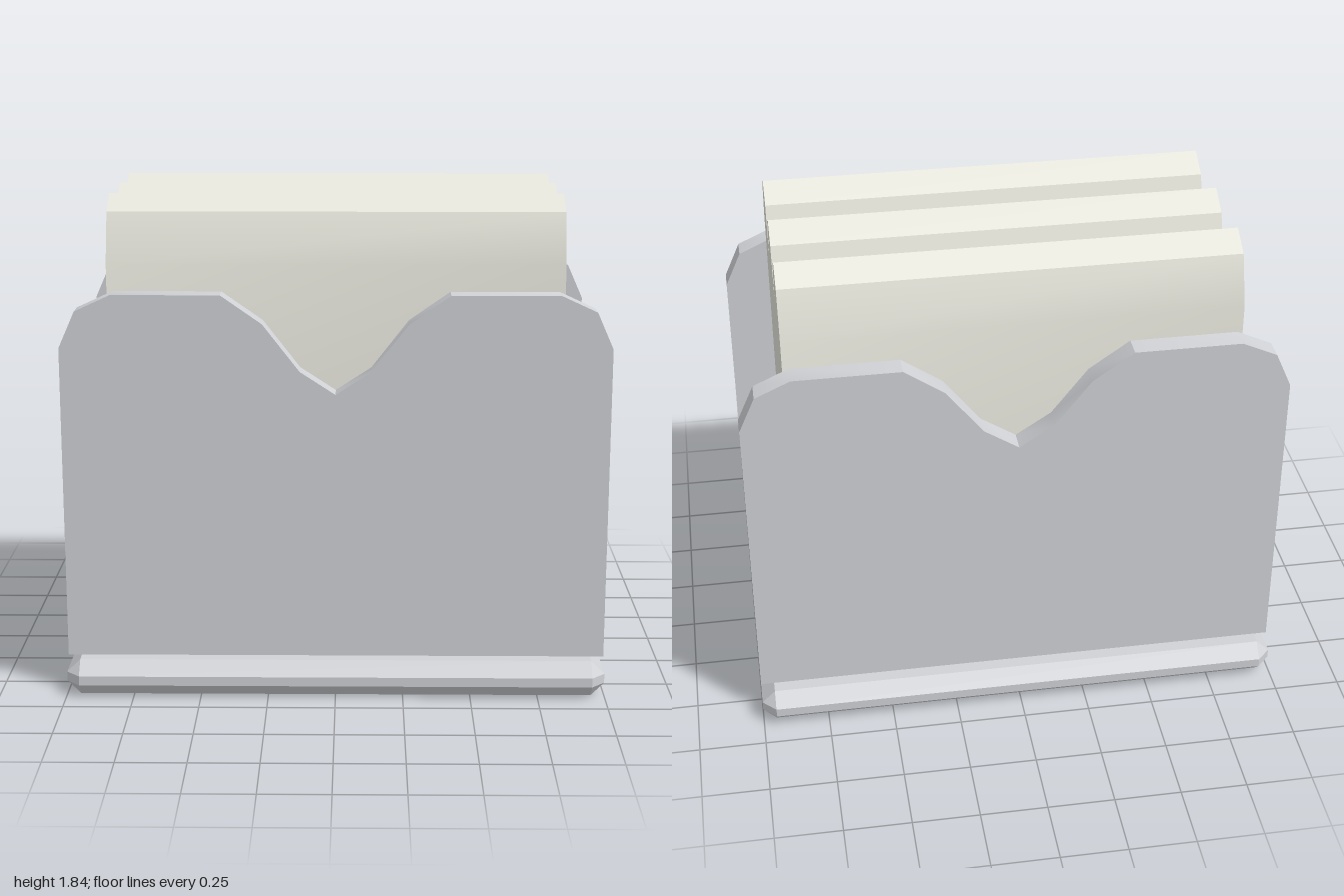
import * as THREE from 'three';
import { toCreasedNormals } from 'three/addons/utils/BufferGeometryUtils.js';
import { ConvexGeometry } from 'three/addons/geometries/ConvexGeometry.js';

const BASE_TOP = 0.135;

// Copy a non-indexed geometry without its downward-facing floor
function openBottom(source) {
  const { position, normal } = source.attributes;
  const positions = [], normals = [];
  for (let i = 0; i < position.count; i += 3) {
    if (normal.getY(i) < -0.99) continue;
    for (let j = i; j < i + 3; j++) {
      positions.push(position.getX(j), position.getY(j), position.getZ(j));
      normals.push(normal.getX(j), normal.getY(j), normal.getZ(j));
    }
  }
  const geometry = new THREE.BufferGeometry();
  geometry.setAttribute('position', new THREE.Float32BufferAttribute(positions, 3));
  geometry.setAttribute('normal', new THREE.Float32BufferAttribute(normals, 3));
  return geometry;
}

// Extrude an outline, centred on its depth, smoothing only gentle bends
function slab(points, depth) {
  const shape = new THREE.Shape(points.map(([x, y]) => new THREE.Vector2(x, y)));
  const geometry = new THREE.ExtrudeGeometry(shape, { depth, bevelEnabled: false });
  geometry.translate(0, 0, -depth / 2);
  return openBottom(toCreasedNormals(geometry, 0.5));
}

// Hollow box with every edge and corner chamfered, standing on y = 0
function chamferedTray(w, h, d, c) {
  const points = [];
  for (const sx of [-1, 1]) for (const sy of [-1, 1]) for (const sz of [-1, 1]) {
    for (const axis of [0, 1, 2]) {
      const inset = [c, c, c];
      inset[axis] = 0;
      points.push(new THREE.Vector3(
        sx * (w / 2 - inset[0]),
        h / 2 + sy * (h / 2 - inset[1]),
        sz * (d / 2 - inset[2])));
    }
  }
  return openBottom(new ConvexGeometry(points));
}

export function createModel() {
  const group = new THREE.Group();
  const grey = new THREE.MeshStandardMaterial({ color: 0xd0d2d6, side: THREE.DoubleSide });
  grey.name = 'holder grey';
  const cream = new THREE.MeshStandardMaterial({ color: 0xe6e6dc, side: THREE.DoubleSide });
  cream.name = 'paper cream';

  const add = (name, geometry, material) => {
    const mesh = new THREE.Mesh(geometry, material);
    mesh.name = name;
    group.add(mesh);
    return mesh;
  };

  // Base tray, open underneath
  add('base', chamferedTray(2, BASE_TOP, 1.33, 0.05), grey);

  // Front and back plates with a dipped top edge
  const half = [[1, BASE_TOP], [1, 1.305], [0.94, 1.44], [0.81, 1.5],
    [0.415, 1.5], [0.265, 1.395], [0.13, 1.22]];
  const mirrored = half.map(([x, y]) => [-x, y]).reverse();
  const plate = slab([...half, [0, 1.135], ...mirrored], 0.083);
  add('frontPlate', plate, grey).position.z = 0.525;
  add('backPlate', plate, grey).position.z = -0.525;

  // Folded paper stack: three peaked ridges on one block
  const pitch = 0.316;
  const profile = [[-1.5 * pitch, BASE_TOP], [1.5 * pitch, BASE_TOP], [1.5 * pitch, 1.6]];
  for (const i of [1, 0, -1]) {
    const z = i * pitch;
    profile.push([z + 0.095, 1.78], [z, 1.835], [z - 0.095, 1.78], [z - pitch / 2, 1.6]);
  }
  add('paperStack', slab(profile, 1.665), cream).rotation.y = Math.PI / 2;

  return group;
}
